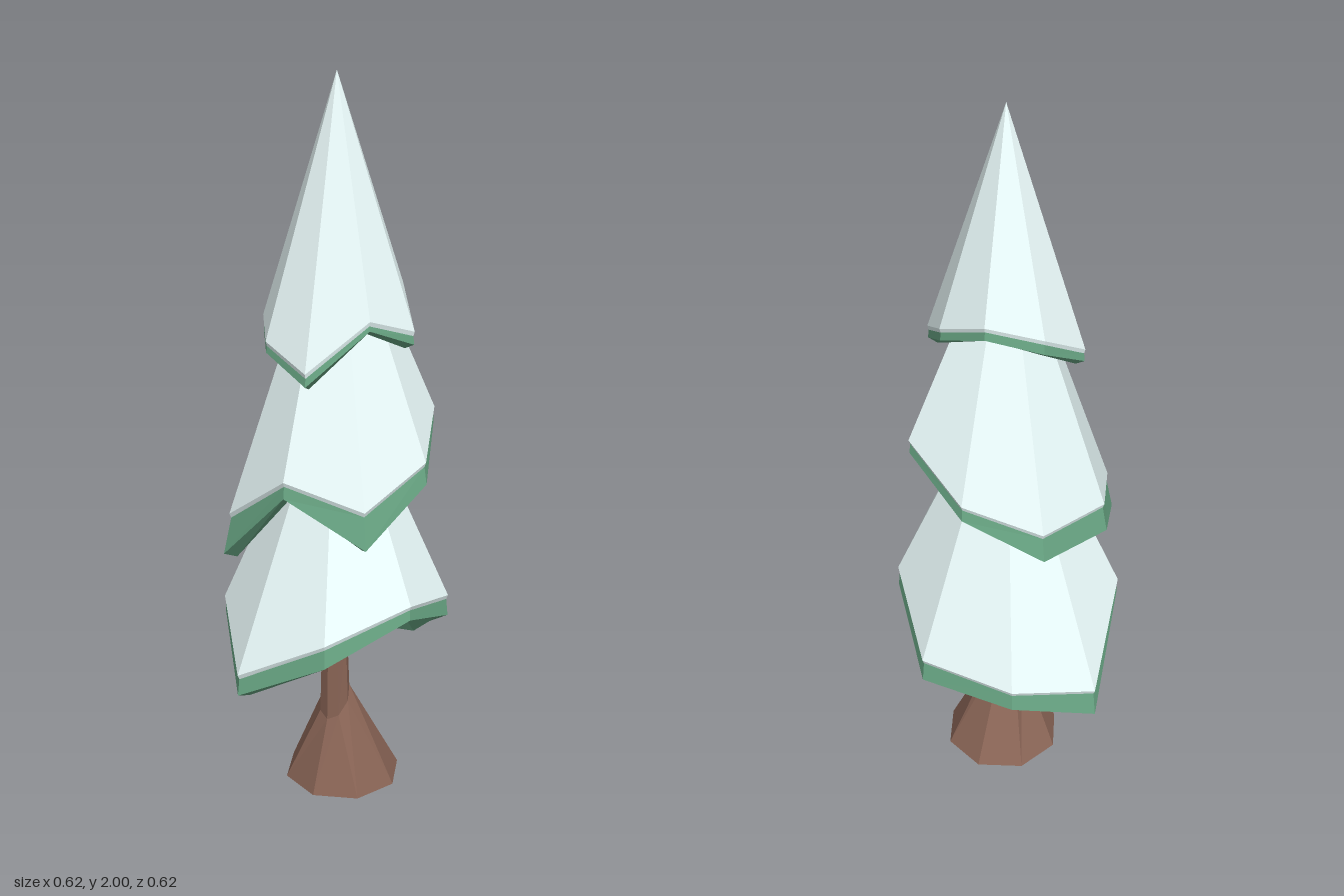
import * as THREE from 'three';

const AXIS = [0.02, -0.005];
const SIDES = 8;

// Each tier: apex height, height of the hollow underside, how far the foliage flares past the snow,
// and rim corners as [x, z, snow edge height, foliage edge height]
const TIERS = [
  { name: 'bottomTier', apex: 1.28, hollow: 0.82, flare: 0.3, rim: [
    [-0.13, -0.295, 0.42, 0.36], [0.135, -0.312, 0.45, 0.38], [0.30, -0.133, 0.59, 0.53], [0.308, 0.103, 0.66, 0.62],
    [0.147, 0.272, 0.575, 0.51], [-0.10, 0.31, 0.44, 0.38], [-0.262, 0.12, 0.555, 0.515], [-0.31, -0.133, 0.36, 0.275]] },
  { name: 'middleTier', apex: 1.73, hollow: 1.2, flare: 0.8, rim: [
    [-0.183, -0.21, 0.92, 0.84], [0.02, -0.278, 1.0, 0.955], [0.21, -0.198, 1.10, 1.06], [0.29, -0.008, 1.02, 0.96],
    [0.23, 0.205, 0.94, 0.84], [0.02, 0.262, 1.005, 0.96], [-0.20, 0.213, 0.85, 0.735], [-0.267, 0.01, 0.90, 0.815]] },
  { name: 'topTier', apex: 2.0, hollow: 1.6, flare: 0, rim: [
    [-0.012, -0.197, 1.50, 1.465], [0.13, -0.16, 1.44, 1.405], [0.228, -0.042, 1.355, 1.32], [0.183, 0.11, 1.415, 1.39],
    [0.055, 0.21, 1.285, 1.25], [-0.088, 0.165, 1.335, 1.305], [-0.182, 0.028, 1.355, 1.32], [-0.135, -0.115, 1.45, 1.41]] },
];

// Joins rings of points (ordered by angle) with flat facets, skipping collapsed ones
function loft(rings) {
  const pos = [];
  const tri = (a, b, c) => {
    if (new THREE.Triangle(a, b, c).getArea() > 1e-8) [a, b, c].forEach((p) => pos.push(p.x, p.y, p.z));
  };
  for (let k = 0; k < rings.length - 1; k++) {
    const lo = rings[k], hi = rings[k + 1];
    for (let i = 0; i < SIDES; i++) {
      const j = (i + 1) % SIDES;
      tri(lo[j], lo[i], hi[i]);
      tri(lo[j], hi[i], hi[j]);
    }
  }
  const geo = new THREE.BufferGeometry();
  geo.setAttribute('position', new THREE.Float32BufferAttribute(pos, 3));
  geo.computeVertexNormals();
  return geo;
}

function part(name, rings, color) {
  const mat = new THREE.MeshStandardMaterial({ color, flatShading: true });
  const mesh = new THREE.Mesh(loft(rings), mat);
  mesh.name = name;
  return mesh;
}

// A ring collapsed to a point
const tip = (x, y, z) => Array.from({ length: SIDES }, () => new THREE.Vector3(x, y, z));

// Round ring, tilted down towards the front
const round = (x, y, z, r, tilt = 0) => Array.from({ length: SIDES }, (_, i) => {
  const a = (i / SIDES) * Math.PI * 2;
  return new THREE.Vector3(x + r * Math.cos(a), y - tilt * Math.sin(a), z + r * Math.sin(a));
});

function createTier({ name, apex, hollow, flare, rim }) {
  const [ax, az] = AXIS;
  // Rim corners pulled towards the axis by a factor
  const ring = (factor, height) => rim.map((c) => {
    const f = factor(c);
    return new THREE.Vector3(ax + (c[0] - ax) * f, height(c), az + (c[1] - az) * f);
  });
  const snowSize = (c) => 1 - flare * Math.max(0, c[2] - c[3] - 0.04);
  const snowEdge = ring(snowSize, (c) => c[2]);
  const snowHem = ring((c) => snowSize(c) - 0.015, (c) => c[2] - 0.012);
  const outerEdge = ring(() => 0.995, (c) => c[3]);
  const innerEdge = ring(() => 0.88, (c) => c[3] - 0.012);

  const tier = new THREE.Group();
  tier.name = name;
  tier.add(
    part('snowCap', [snowHem, snowEdge, tip(ax, apex, az)], 0xeeffff),
    // Hollow underside, rim and outer band
    part('foliage', [tip(ax, hollow, az), innerEdge, outerEdge, snowHem], 0x6cab88),
  );
  return tier;
}

export function createModel() {
  const tree = new THREE.Group();
  tree.name = 'snowyTree';
  TIERS.forEach((t) => tree.add(createTier(t)));

  // Trunk flaring out to a wide foot
  tree.add(part('trunk', [
    tip(0.018, 0, -0.047),
    round(0.018, 0, -0.047, 0.164),
    round(0.018, 0.255, -0.003, 0.042, 0.05),
    round(0.018, 0.45, -0.002, 0.036),
    round(0.02, 0.82, -0.005, 0.034),
    tip(0.02, 0.82, -0.005),
  ], 0x8a6556));
  return tree;
}
